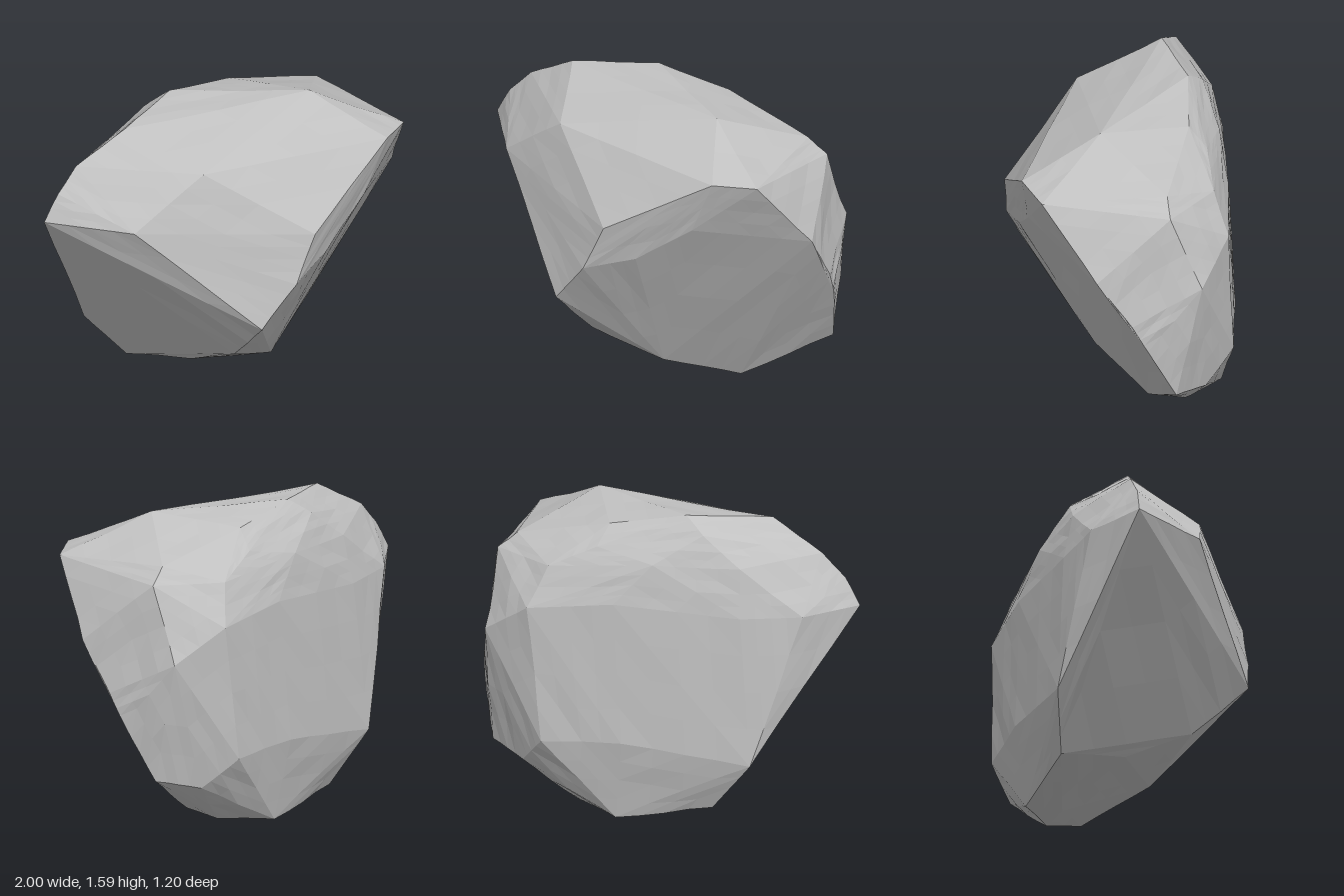
import * as THREE from 'three';
import { ConvexGeometry } from 'three/addons/geometries/ConvexGeometry.js';

// Corners of the boulder, grouped by region
const top = [
  [-0.53, 1.57, -0.24], [-0.1, 1.59, -0.35], [0.43, 1.57, 0.13], [0.3, 1.52, -0.33],
  [-0.41, 1.42, 0.2], [0.58, 1.39, 0.54], [0.79, 1.37, 0.45], [0.8, 1.4, -0.19],
  [0.9, 1.32, -0.2], [-0.8, 1.42, -0.33], [-0.92, 1.3, -0.34],
];
const front = [
  [-0.77, 1.16, 0.06], [0, 1.07, 0.595], [-0.12, 0.82, 0.58], [-0.3, 0.6, 0.51],
  [-0.22, 0.33, 0.23], [0.14, 0.175, 0.14], [0.15, 0.9, 0.53], [0.45, 1.1, 0.5],
  [0.22, 0.64, 0.345],
];
const sides = [
  [-1, 1.16, -0.36], [0.98, 1, 0.18], [1, 0.75, 0], [0.99, 0.6, -0.08],
  [0.92, 0.3, -0.23], [0.94, 0.93, -0.36], [0.74, 0.25, -0.39],
];
const back = [
  [-0.41, 1.11, -0.545], [-0.73, 1.13, -0.52], [0.25, 1.15, -0.535], [0.7, 1.1, -0.51],
  [-0.47, 0.34, -0.6], [0.2, 0.42, -0.575], [0.62, 0.4, -0.54], [0.05, 1.36, -0.5],
  [-0.4, 1.36, -0.49], [0.6, 1.31, -0.44], [-0.2, 1.51, -0.43], [0.35, 1.42, -0.42],
];
const bottom = [
  [-0.26, 0.08, -0.5], [0.24, 0, -0.5], [0.24, 0.01, -0.3], [0.46, 0.02, -0.3],
  [0.46, 0.05, -0.11], [-0.18, 0.16, -0.12],
];

// Repeatable value from 0 to 1 for a position
function noise(p) {
  const s = Math.sin(p.x * 127.1 + p.y * 311.7 + p.z * 74.7) * 437.58;
  return s - Math.floor(s);
}

// Split every triangle into four, nudging the new points slightly in or out
function roughen(triangles, depth) {
  const centre = new THREE.Vector3(0, 0.85, -0.05);
  const middle = (a, b) => {
    const m = a.clone().add(b).multiplyScalar(0.5);
    const key = m.clone().multiplyScalar(1000).round().multiplyScalar(0.001);
    const amount = Math.min(depth, a.distanceTo(b) * 0.04);
    return m.lerp(centre, (noise(key) - 0.4) * amount);
  };
  return triangles.flatMap(([a, b, c]) => {
    const ab = middle(a, b), bc = middle(b, c), ca = middle(c, a);
    return [[a, ab, ca], [ab, b, bc], [ca, bc, c], [ab, bc, ca]];
  });
}

export function createModel() {
  const group = new THREE.Group();
  group.name = 'rock';

  const corners = [...top, ...front, ...sides, ...back, ...bottom]
    .map((p) => new THREE.Vector3(...p));
  const hull = new ConvexGeometry(corners).attributes.position;
  let triangles = [];
  for (let i = 0; i < hull.count; i += 3) {
    triangles.push([0, 1, 2].map((k) => new THREE.Vector3().fromBufferAttribute(hull, i + k)));
  }
  triangles = roughen(triangles, 0.016);
  triangles = roughen(triangles, 0.01);

  // Faceted stone surface
  const geometry = new THREE.BufferGeometry().setFromPoints(triangles.flat());
  geometry.computeVertexNormals();
  const stone = new THREE.MeshStandardMaterial({ color: 0xc0c0c0 });
  stone.name = 'grey stone';
  stone.flatShading = true;
  const boulder = new THREE.Mesh(geometry, stone);
  boulder.name = 'boulder';
  group.add(boulder);
  return group;
}
